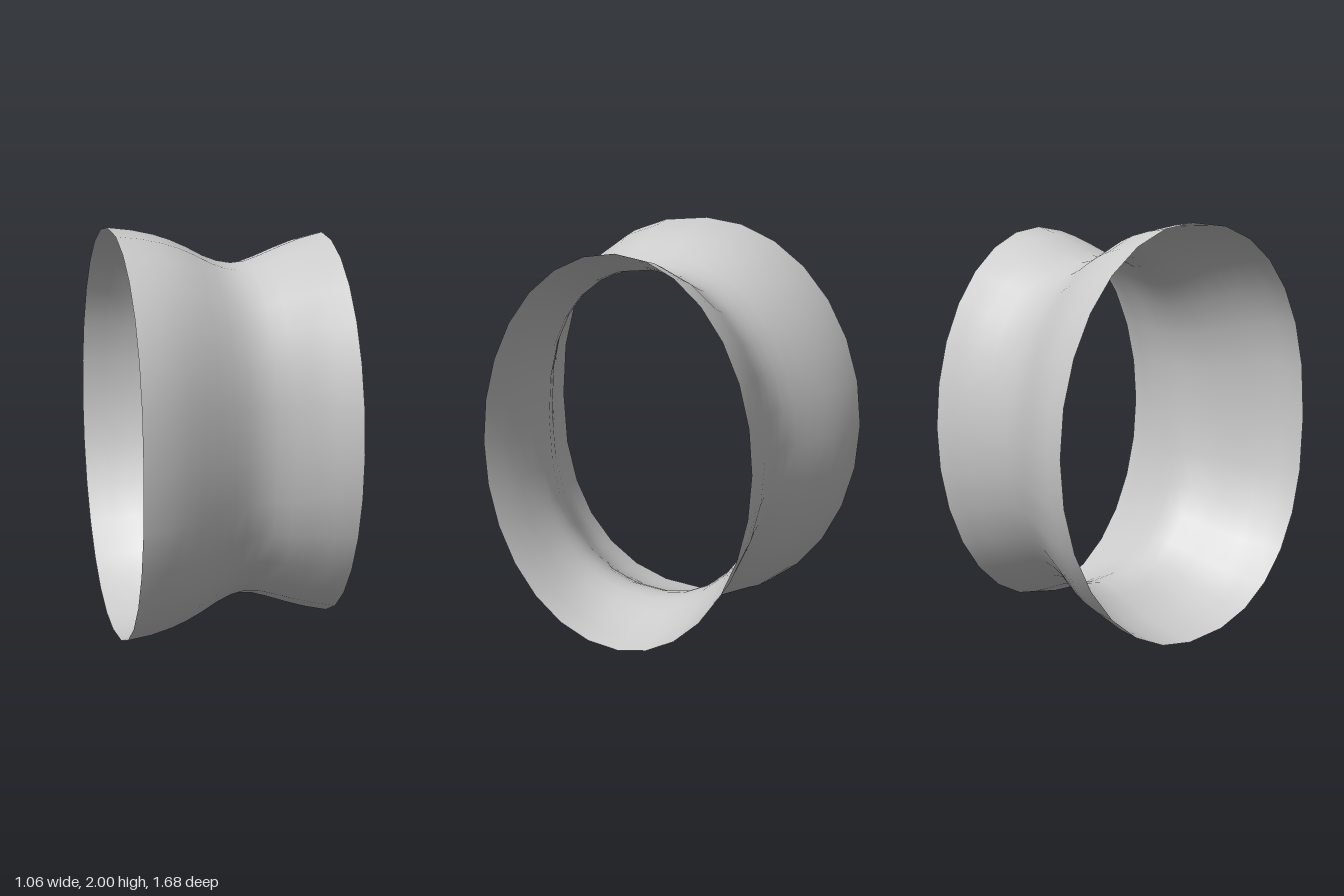
import * as THREE from 'three';

const SEGMENTS = 28;

// Stations along the sleeve: x, half height, front depth, back depth
const STATIONS = [
  [-0.53, 1.0, 0.84, 0.843],
  [-0.415, 0.986, 0.82, 0.82],
  [-0.31, 0.963, 0.78, 0.78],
  [-0.23, 0.936, 0.745, 0.745],
  [-0.15, 0.9, 0.705, 0.705],
  [-0.07, 0.857, 0.67, 0.67],
  [0, 0.83, 0.64, 0.643],
  [0.07, 0.818, 0.622, 0.63],
  [0.14, 0.825, 0.618, 0.628],
  [0.22, 0.852, 0.627, 0.637],
  [0.325, 0.894, 0.647, 0.66],
  [0.42, 0.928, 0.672, 0.673],
  [0.53, 0.955, 0.71, 0.677],
];

const power = (v, p) => Math.sign(v) * Math.abs(v) ** p;

// Oval rings: plain ellipse at the back, slightly squarer at the front,
// the squareness fading out towards the narrow-end rim
function sleeveGeometry() {
  const positions = [];
  const index = [];
  STATIONS.forEach(([x, height, front, back], i) => {
    const fade = THREE.MathUtils.smoothstep(x, 0.14, 0.53);
    for (let j = 0; j < SEGMENTS; j++) {
      const angle = (j / SEGMENTS) * Math.PI * 2;
      const c = Math.cos(angle);
      const s = Math.sin(angle);
      const p = s > 0 ? THREE.MathUtils.lerp(0.87, 1, fade) : 1;
      positions.push(x, 1 + height * power(c, p), (s > 0 ? front : back) * power(s, p));

      if (i < STATIONS.length - 1) {
        const next = (j + 1) % SEGMENTS;
        const a = i * SEGMENTS + j;
        const b = a + SEGMENTS;
        const d = i * SEGMENTS + next;
        const e = d + SEGMENTS;
        index.push(a, d, b, d, e, b);
      }
    }
  });
  const geometry = new THREE.BufferGeometry();
  geometry.setAttribute('position', new THREE.Float32BufferAttribute(positions, 3));
  geometry.setIndex(index);
  geometry.computeVertexNormals();
  return geometry;
}

export function createModel() {
  const group = new THREE.Group();
  group.name = 'waistedSleeve';

  // Thin open shell, visible from inside and outside
  const material = new THREE.MeshStandardMaterial({ color: 0xcccccc, side: THREE.DoubleSide });
  const shell = new THREE.Mesh(sleeveGeometry(), material);
  shell.name = 'sleeveShell';
  group.add(shell);
  return group;
}
